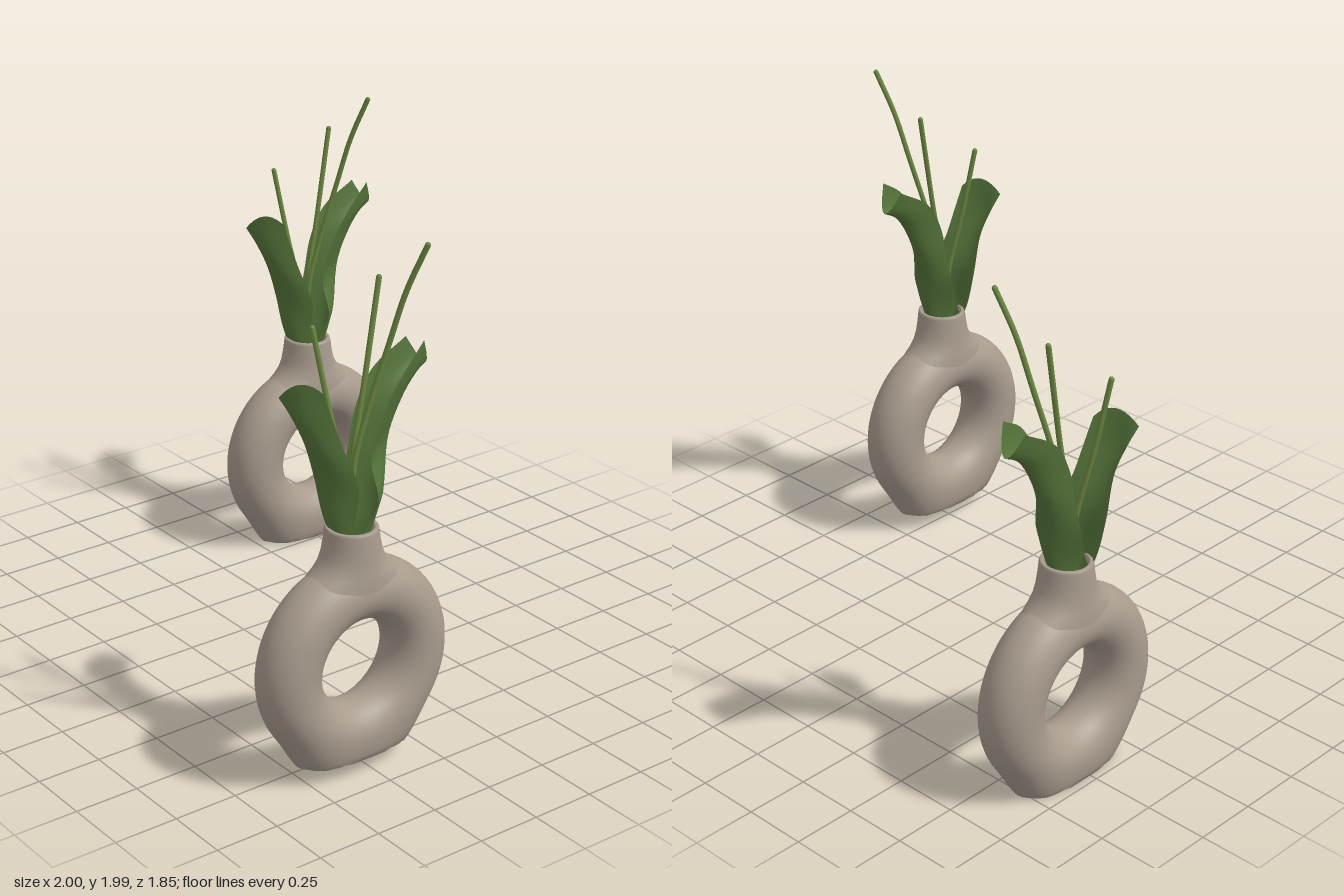
import * as THREE from 'three';
import { mergeVertices } from 'three/addons/utils/BufferGeometryUtils.js';

const clay = new THREE.MeshStandardMaterial({ color: 0xa89b8d });
clay.name = 'clay';
const leafGreen = new THREE.MeshStandardMaterial({ color: 0x55743a, side: THREE.DoubleSide });
leafGreen.name = 'leaf green';
const stemGreen = new THREE.MeshStandardMaterial({ color: 0x6c8842 });
stemGreen.name = 'stem green';

const vec = (p) => new THREE.Vector3(...p);
const spline = (points) => new THREE.CatmullRomCurve3(points.map(vec));

// Smooth surface from a rule point(u, v), with u and v from 0 to 1
function surface(nu, nv, point) {
  const positions = [], index = [];
  for (let i = 0; i <= nu; i++) {
    for (let j = 0; j <= nv; j++) positions.push(...point(i / nu, j / nv));
  }
  for (let i = 0; i < nu; i++) {
    for (let j = 0; j < nv; j++) {
      const a = i * (nv + 1) + j, b = a + nv + 1;
      index.push(a, a + 1, b, a + 1, b + 1, b);
    }
  }
  let geometry = new THREE.BufferGeometry();
  geometry.setAttribute('position', new THREE.Float32BufferAttribute(positions, 3));
  geometry.setIndex(index);
  geometry = mergeVertices(geometry, 1e-5);
  geometry.computeVertexNormals();
  return geometry;
}

// Ring body: a torus whose underside swells into a flat foot
function ringGeometry() {
  const R = 0.2775, r = 0.118, centerY = 0.36;
  return surface(96, 40, (u, v) => {
    const a = (u - 0.5) * Math.PI * 2, b = v * Math.PI * 2;
    const foot = 1 - THREE.MathUtils.smoothstep(Math.abs(a), 0.2, 0.95);
    const out = Math.cos(b) > 0 ? r + 0.08 * foot : r;
    const rho = R + out * Math.cos(b);
    return [r * Math.sin(b), Math.max(0, centerY - rho * Math.cos(a)), rho * Math.sin(a)];
  });
}

// Neck: oval sections [half width x, y, half depth z], up the outside and down the inside
function neckGeometry() {
  const rows = [
    [0.116, 0.655, 0.25], [0.115, 0.69, 0.208], [0.112, 0.72, 0.162], [0.108, 0.75, 0.13],
    [0.105, 0.785, 0.112], [0.102, 0.83, 0.101], [0.099, 0.872, 0.095], [0.097, 0.879, 0.093],
    [0.093, 0.882, 0.09], [0.084, 0.882, 0.081], [0.08, 0.877, 0.078], [0.078, 0.85, 0.076],
    [0.078, 0.77, 0.076], [0.0, 0.765, 0.0],
  ];
  return surface(rows.length - 1, 48, (u, v) => {
    const [x, y, z] = rows[Math.round(u * (rows.length - 1))];
    const t = v * Math.PI * 2;
    return [x * Math.cos(t), y, -z * Math.sin(t)];
  });
}

// Leaf: a channelled ribbon through its left edge, spine and right edge
function leafGeometry(left, spine, right) {
  const [L, M, R] = [left, spine, right].map(spline);
  return surface(36, 10, (u, t) => {
    const p = L.getPoint(u).multiplyScalar((1 - t) * (1 - 2 * t));
    p.addScaledVector(M.getPoint(u), 4 * t * (1 - t));
    p.addScaledVector(R.getPoint(u), t * (2 * t - 1));
    return p.toArray();
  });
}

const ring = ringGeometry();
const neck = neckGeometry();

const frontLeaf = leafGeometry(
  [[-0.06, 0.8, 0.02], [-0.085, 0.9, 0.06], [-0.105, 1.05, 0.085], [-0.09, 1.2, 0.14], [-0.11, 1.3, 0.18], [-0.13, 1.37, 0.215]],
  [[0, 0.8, 0.055], [-0.01, 0.9, 0.08], [-0.02, 1.05, 0.085], [-0.03, 1.2, 0.13], [-0.05, 1.3, 0.165], [-0.06, 1.43, 0.175]],
  [[0.04, 0.8, 0], [0.045, 0.9, 0.02], [0.063, 1.05, 0.02], [0.025, 1.2, 0.06], [0.01, 1.3, 0.09], [-0.005, 1.4, 0.12]],
);
const backLeaf = leafGeometry(
  [[-0.05, 0.8, 0], [-0.06, 0.9, 0], [-0.08, 1.03, -0.02], [-0.075, 1.14, -0.04], [-0.07, 1.29, -0.07], [-0.07, 1.41, -0.14], [-0.06, 1.5, -0.28]],
  [[0, 0.8, -0.05], [0.02, 0.9, -0.078], [0.02, 1.04, -0.105], [0, 1.2, -0.155], [-0.005, 1.32, -0.215], [-0.01, 1.38, -0.27], [-0.01, 1.41, -0.325]],
  [[0.04, 0.8, -0.01], [0.065, 0.89, -0.01], [0.11, 1.0, -0.03], [0.07, 1.14, -0.03], [0.085, 1.28, -0.06], [0.09, 1.41, -0.13], [0.04, 1.515, -0.28]],
);

// Thin stems with closed tips
const stems = [
  [[0, 0.77, 0], [0.01, 1.1, 0], [0.03, 1.3, -0.04], [0.075, 1.56, -0.1], [0.12, 1.75, -0.135], [0.18, 1.92, -0.175]],
  [[0.01, 0.77, 0.01], [0, 1.1, 0], [-0.01, 1.4, -0.06], [-0.022, 1.76, -0.13]],
  [[-0.01, 0.77, 0], [-0.03, 1.05, 0.01], [-0.08, 1.33, 0.045], [-0.118, 1.595, 0.08]],
].map((points) => ({
  tube: new THREE.TubeGeometry(spline(points), 40, 0.01, 8),
  tip: vec(points[points.length - 1]),
}));
const tipGeometry = new THREE.SphereGeometry(0.01, 8, 6);

function addMesh(parent, name, geometry, material) {
  const mesh = new THREE.Mesh(geometry, material);
  mesh.name = name;
  parent.add(mesh);
  return mesh;
}

function pottedPlant(name, x, y, z) {
  const group = new THREE.Group();
  group.name = name;
  group.position.set(x, y, z);
  addMesh(group, 'vaseRing', ring, clay);
  addMesh(group, 'vaseNeck', neck, clay);
  addMesh(group, 'frontLeaf', frontLeaf, leafGreen);
  addMesh(group, 'backLeaf', backLeaf, leafGreen);
  stems.forEach(({ tube, tip }, i) => {
    addMesh(group, `stem${i + 1}`, tube, stemGreen);
    addMesh(group, `stemTip${i + 1}`, tipGeometry, stemGreen).position.copy(tip);
  });
  return group;
}

export function createModel() {
  const model = new THREE.Group();
  model.name = 'pairOfRingVases';
  model.add(pottedPlant('leftVase', 0.81, 0.062, 0.53));
  model.add(pottedPlant('rightVase', -0.865, 0, -0.53));
  return model;
}
